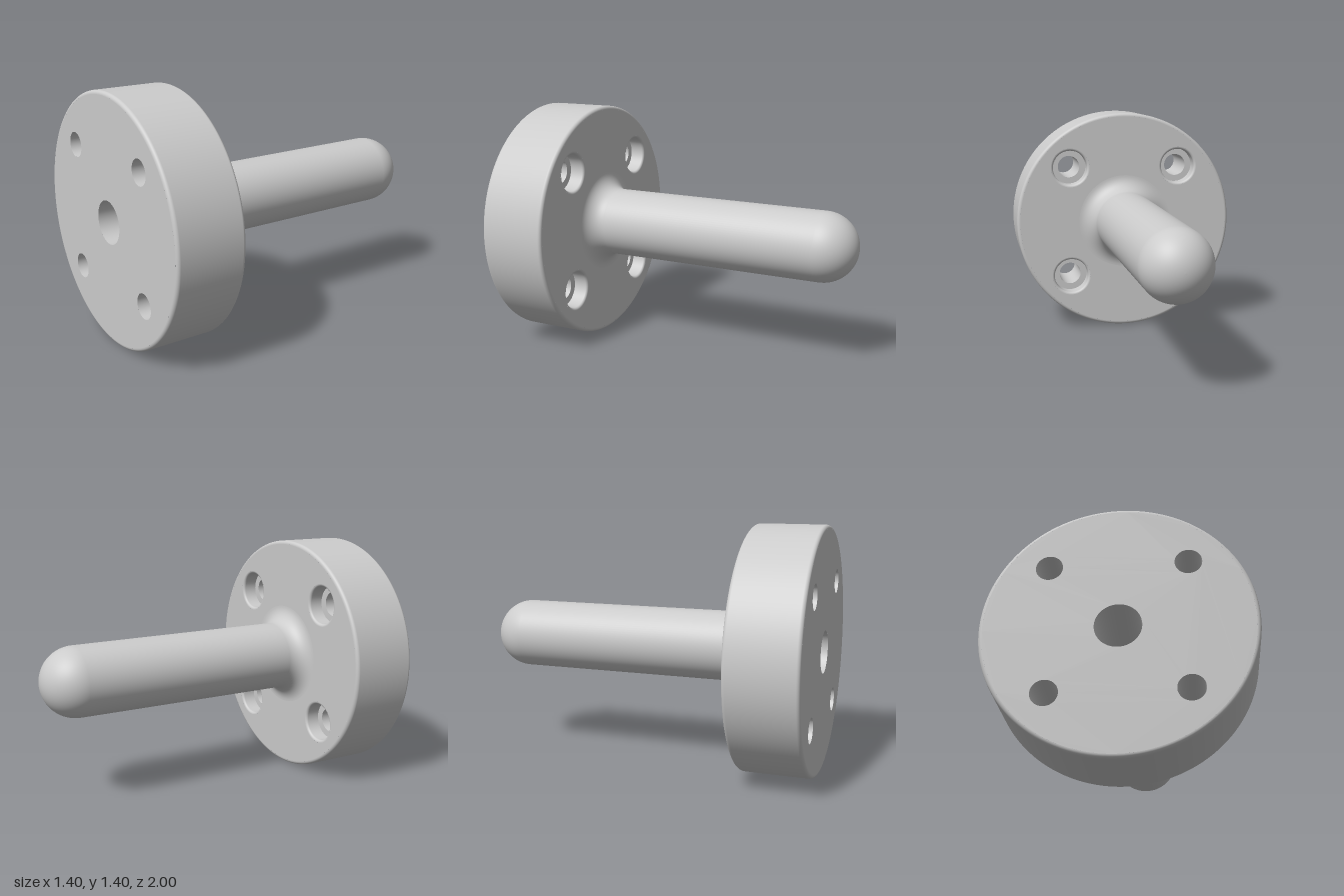
import * as THREE from 'three';

const material = new THREE.MeshStandardMaterial({ color: 0xcccccc });
const HOLE_POS = [[-1, -1], [1, -1], [1, 1], [-1, 1]].map(([x, y]) => [x * 0.354, y * 0.354]);

// Points along an arc in (radius, z)
function arc(cr, cz, r, from, to, n) {
  return Array.from({ length: n + 1 }, (_, i) => {
    const a = from + (to - from) * i / n;
    return [Math.max(0, cr + r * Math.cos(a)), cz + r * Math.sin(a)];
  });
}

// Revolve a (radius, z) profile about the z axis
function turned(name, profile, segments = 96) {
  const geo = new THREE.LatheGeometry(profile.map(([r, z]) => new THREE.Vector2(r, z)), segments);
  geo.rotateX(Math.PI / 2);
  const mesh = new THREE.Mesh(geo, material);
  mesh.name = name;
  return mesh;
}

// Flat round plate with a centre opening and four bolt openings
function face(name, centreRadius, boltRadius) {
  const shape = new THREE.Shape().absarc(0, 0, 0.68, 0, Math.PI * 2);
  const addHole = (x, y, r) => shape.holes.push(new THREE.Path().absarc(x, y, r, 0, Math.PI * 2, true));
  addHole(0, 0, centreRadius);
  HOLE_POS.forEach(([x, y]) => addHole(x, y, boltRadius));
  const mesh = new THREE.Mesh(new THREE.ShapeGeometry(shape, 48), material);
  mesh.name = name;
  return mesh;
}

export function createModel() {
  const model = new THREE.Group();
  model.name = 'flangedPin';
  const PI = Math.PI;

  // Flange: rounded rim and two flat faces
  const rim = turned('flangeRim', [
    ...arc(0.68, 0.62, 0.02, -PI / 2, 0, 8),
    ...arc(0.68, 0.98, 0.02, 0, PI / 2, 8),
  ], 128);
  const front = face('flangeFront', 0.12, 0.07);
  front.position.z = 1;
  const back = face('flangeBack', 0.3, 0.125);
  back.rotation.y = PI;
  back.position.z = 0.6;

  // Round-ended pin with a fillet at its root
  const pin = turned('pin', [
    ...arc(0, -0.8, 0.2, -PI / 2, 0, 24),
    ...arc(0.3, 0.5, 0.1, PI, PI / 2, 14),
  ]);

  // Blind bore with a round bottom
  const bore = turned('bore', [[0.12, 1], ...arc(0, -0.8, 0.12, 0, -PI / 2, 20)], 64);

  model.add(rim, front, back, pin, bore);

  // Counterbored bolt holes
  HOLE_POS.forEach(([x, y]) => {
    const hole = new THREE.Group();
    hole.name = 'boltHole';
    hole.position.set(x, y, 0);
    hole.add(
      turned('boltHoleWall', [[0.07, 1], [0.07, 0.69]], 48),
      turned('counterboreFloor', [[0.07, 0.69], [0.11, 0.69]], 48),
      turned('counterboreWall', [[0.11, 0.69], ...arc(0.125, 0.615, 0.015, PI, PI * 1.5, 6)], 48),
    );
    model.add(hole);
  });

  model.position.y = 0.7;
  const group = new THREE.Group();
  group.add(model);
  return group;
}
